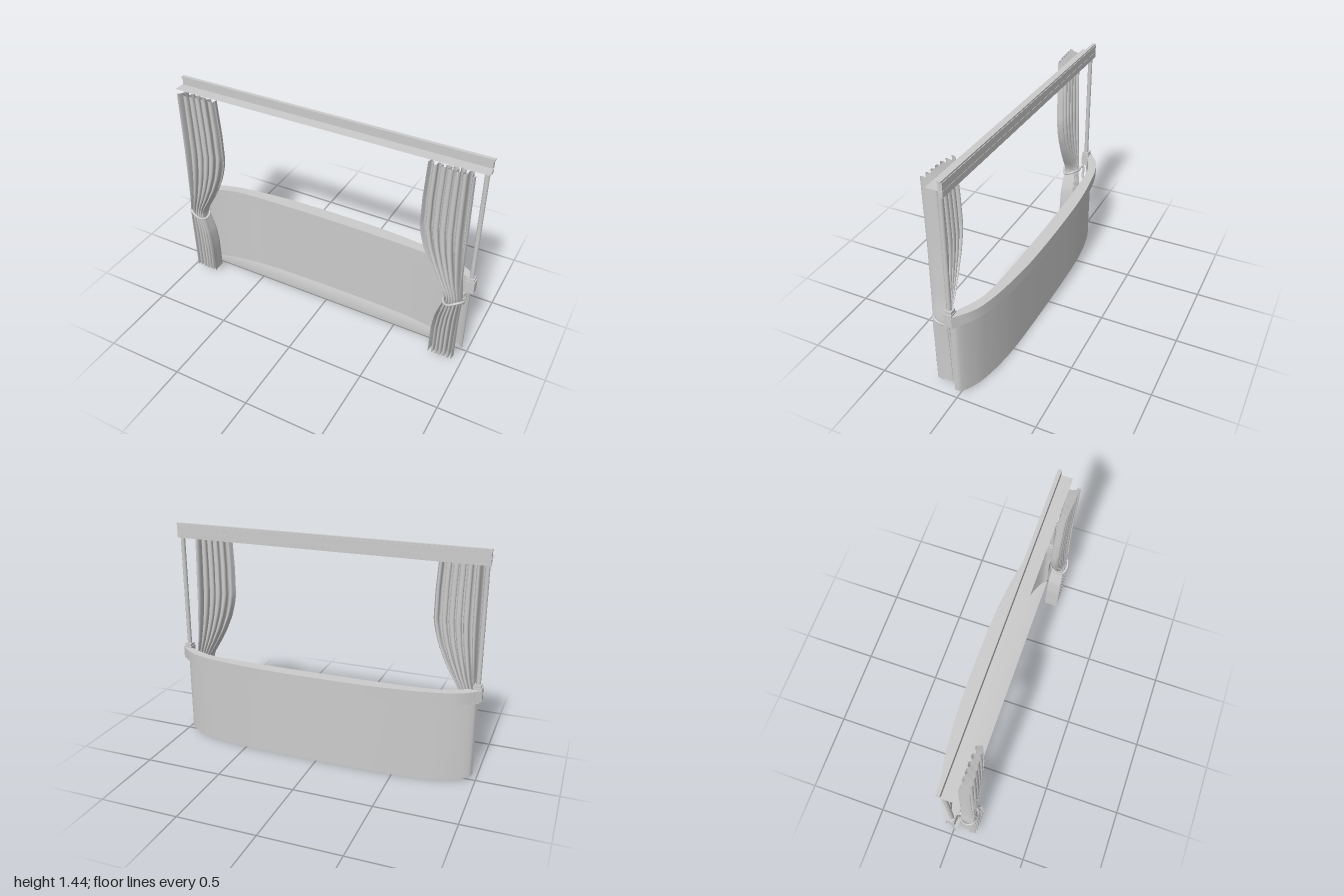
import * as THREE from 'three';
import { toCreasedNormals } from 'three/addons/utils/BufferGeometryUtils.js';

const solid = new THREE.MeshStandardMaterial({ color: 0xcccccc });
const sheet = new THREE.MeshStandardMaterial({ color: 0xcccccc, side: THREE.DoubleSide });

function add(parent, name, geometry, material = solid) {
  const mesh = new THREE.Mesh(geometry, material);
  mesh.name = name;
  parent.add(mesh);
  return mesh;
}

function box(parent, name, x0, x1, y0, y1, z0, z1) {
  const mesh = add(parent, name, new THREE.BoxGeometry(x1 - x0, y1 - y0, z1 - z0));
  mesh.position.set((x0 + x1) / 2, (y0 + y1) / 2, (z0 + z1) / 2);
  return mesh;
}

// Surface from a rule (u, v) -> [x, y, z]
function grid(nu, nv, rule) {
  const pos = [], index = [];
  for (let j = 0; j <= nv; j++)
    for (let i = 0; i <= nu; i++) pos.push(...rule(i / nu, j / nv));
  for (let j = 0; j < nv; j++)
    for (let i = 0; i < nu; i++) {
      const a = j * (nu + 1) + i, b = a + nu + 1;
      index.push(a, a + 1, b, a + 1, b + 1, b);
    }
  const g = new THREE.BufferGeometry();
  g.setAttribute('position', new THREE.Float32BufferAttribute(pos, 3));
  g.setIndex(index);
  g.computeVertexNormals();
  return g;
}

// Symmetric bowed plan line from half points [x, depth behind z = 0]
function bow(half) {
  const pts = [...half.map(([x, d]) => [-x, d]), ...half.slice().reverse()];
  return new THREE.CatmullRomCurve3(pts.map(([x, d]) => new THREE.Vector3(x, d, 0)), false, 'centripetal');
}

const outerRail = [[1, 0], [0.89, 0.08], [0.77, 0.12], [0.57, 0.152], [0.33, 0.172]];
const innerRail = [[0.92, 0], [0.83, 0.045], [0.74, 0.072], [0.57, 0.086], [0.2, 0.095]];
const wallLine = [[0.975, -0.025], [0.96, 0.005], [0.86, 0.055], [0.74, 0.085], [0.56, 0.11], [0.33, 0.12]];

// Horizontal band between two plan lines
function band(outer, inner, y0, y1) {
  const pts = [...bow(outer).getPoints(48), ...bow(inner).getPoints(48).reverse()];
  const shape = new THREE.Shape(pts.map(p => new THREE.Vector2(p.x, p.y)));
  const g = new THREE.ExtrudeGeometry(shape, { depth: y1 - y0, bevelEnabled: false });
  g.rotateX(-Math.PI / 2).translate(0, y0, 0);
  return toCreasedNormals(g, 0.5);
}

// Value at t on a smooth line through [t, value] stops
function along(stops, t) {
  let i = 0;
  while (i < stops.length - 2 && t > stops[i + 1][0]) i++;
  const [a, va] = stops[i], [b, vb] = stops[i + 1];
  return THREE.MathUtils.lerp(va, vb, THREE.MathUtils.clamp((t - a) / (b - a), 0, 1));
}

const outerEdge = [[0.04, 0.95], [0.35, 0.953], [0.5, 0.955], [0.62, 0.945], [1.4, 0.94]];
const innerEdge = [[0.04, 0.795], [0.25, 0.797], [0.36, 0.81], [0.44, 0.835], [0.5, 0.855], [0.55, 0.835],
  [0.63, 0.785], [0.72, 0.735], [0.82, 0.692], [0.9, 0.67], [0.97, 0.658], [1.15, 0.66], [1.4, 0.675]];
const middleZ = [[0.04, 0.107], [0.5, 0.11], [1.0, 0.113], [1.4, 0.122]];
const foldDepth = [[0.04, 0.048], [0.45, 0.045], [0.5, 0.04], [0.6, 0.044], [1.4, 0.04]];

// Pleated cloth, gathered at the tie and fanning out above and below
function curtainGeometry() {
  return grid(120, 48, (u, v) => {
    const hem = 0.008 * Math.sin(u * 40);
    const y = 0.045 + v * 1.345 + hem * (v > 0.98 ? 1 : v < 0.02 ? 0.5 : 0);
    const phase = u * Math.PI * 2 * 6.2 + 0.5 * Math.sin(u * 9 + y * 1.5);
    const fade = 1 - 0.5 * u * THREE.MathUtils.smoothstep(y, 0.3, 0.8);
    const depth = along(foldDepth, y) * fade;
    const x0 = along(outerEdge, y), x1 = along(innerEdge, y);
    const sway = (x0 - x1) * 0.04 * Math.sin(phase * 2) * Math.sin(Math.PI * u);
    return [x0 + (x1 - x0) * u + sway, y, along(middleZ, y) + depth * Math.sin(phase)];
  });
}

function createSide(side) {
  const group = new THREE.Group();
  group.name = side > 0 ? 'leftSide' : 'rightSide';
  const m = (a, b) => side > 0 ? [a, b] : [-b, -a];

  // Post standing on a bracket block
  const [b0, b1] = m(0.942, 0.997);
  box(group, 'bracket', b0, b1, 0.525, 0.61, 0, 0.05);
  const [c0, c1] = m(0.947, 0.99);
  box(group, 'postBase', c0, c1, 0.61, 0.627, 0.004, 0.046);
  const post = add(group, 'post', new THREE.CylinderGeometry(0.014, 0.014, 0.76, 12));
  post.position.set(side * 0.969, 1.003, 0.027);

  // Curtain
  const cloth = curtainGeometry();
  if (side < 0) {
    const p = cloth.attributes.position;
    for (let i = 0; i < p.count; i++) p.setX(i, -p.getX(i));
    cloth.computeVertexNormals();
  }
  add(group, 'curtain', cloth, sheet);

  // Tie cord round the gather, with a tail running back to the wall
  const ring = [];
  for (let i = 0; i < 16; i++) {
    const a = i / 16 * Math.PI * 2;
    ring.push(new THREE.Vector3(side * (0.903 + 0.062 * Math.cos(a)),
      0.495 + 0.01 * Math.cos(a) + 0.014 * Math.sin(2 * a), 0.11 + 0.055 * Math.sin(a)));
  }
  add(group, 'tieCord', new THREE.TubeGeometry(new THREE.CatmullRomCurve3(ring, true), 48, 0.008, 8, true));
  const tail = [[0.93, 0.49, 0.06], [0.945, 0.515, 0.045], [0.95, 0.48, 0.035], [0.945, 0.44, 0.04], [0.94, 0.41, 0.028]]
    .map(([x, y, z]) => new THREE.Vector3(side * x, y, z));
  add(group, 'tieTail', new THREE.TubeGeometry(new THREE.CatmullRomCurve3(tail), 24, 0.008, 8), sheet);
  return group;
}

export function createModel() {
  const model = new THREE.Group();
  model.name = 'theatreBox';

  // Bowed balcony front and its dished floor
  const line = bow(wallLine);
  const floorY = z => 0.03 * Math.pow((z + 0.12) / 0.145, 2);
  add(model, 'balconyWall', grid(64, 4, (u, v) => {
    const p = line.getPoint(u), low = floorY(-p.y);
    return [p.x, low + (0.525 - low) * v, -p.y];
  }), sheet);
  add(model, 'balconyFloor', grid(64, 6, (u, v) => {
    const p = line.getPoint(u), z = THREE.MathUtils.lerp(0.025, -p.y, v);
    return [p.x, floorY(z), z];
  }), sheet);

  // Hand rail and the moulding beneath it
  add(model, 'handRail', band(outerRail, innerRail, 0.53, 0.6));
  const moulding = outerRail.map(([x, d]) => [x * 0.985, d * 0.85]);
  add(model, 'railMoulding', band(moulding, innerRail, 0.515, 0.53));

  // Header beam, its cap and the thin pelmet shelf
  box(model, 'headerBeam', -0.99, 0.99, 1.347, 1.43, 0, 0.025);
  box(model, 'headerCap', -0.995, 0.995, 1.43, 1.44, 0.004, 0.025);
  const shelf = add(model, 'pelmetShelf', new THREE.PlaneGeometry(1.99, 0.098), sheet);
  shelf.rotation.x = -Math.PI / 2;
  shelf.position.set(0, 1.386, 0.047);

  for (const side of [1, -1]) model.add(createSide(side));
  return model;
}
